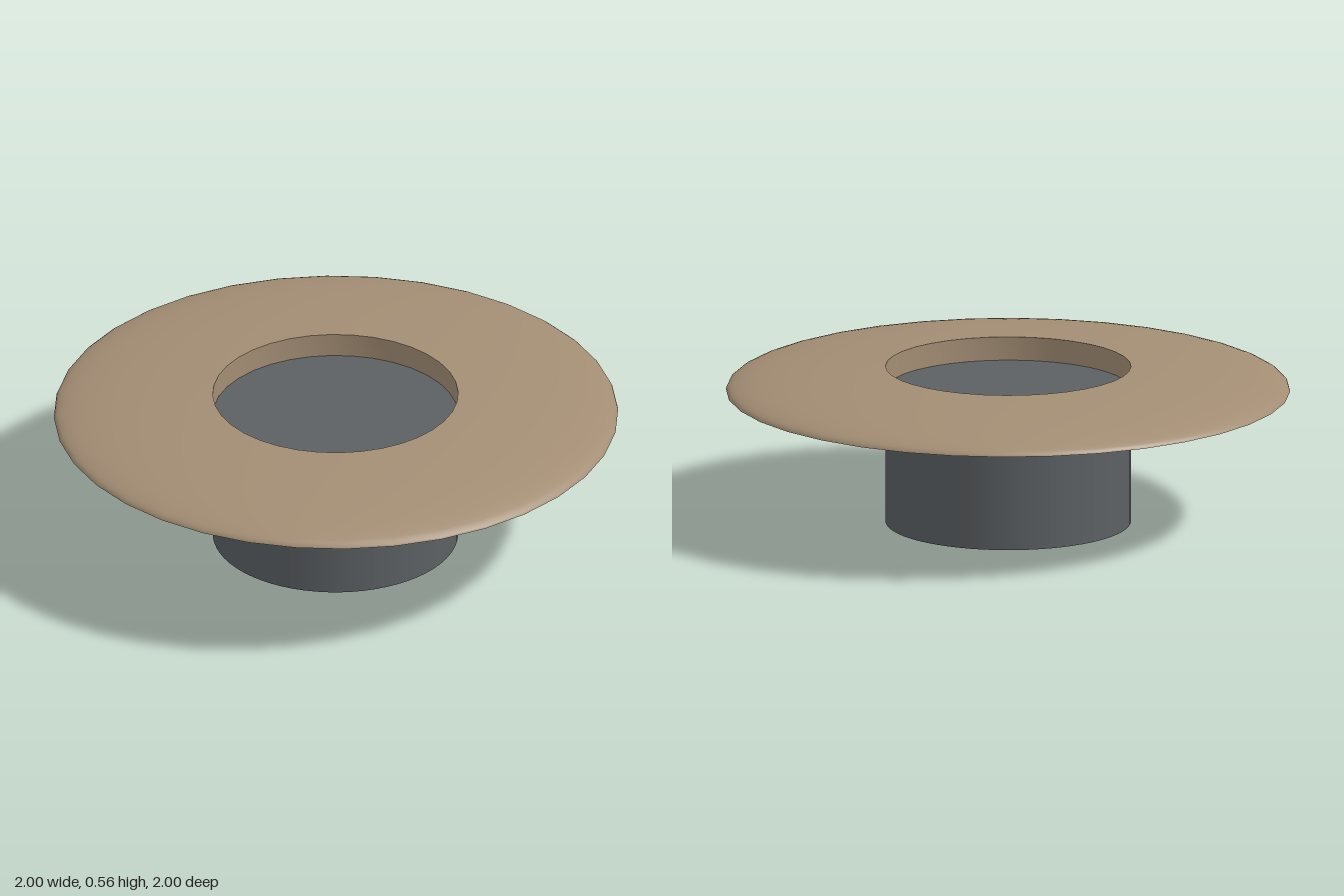
import * as THREE from 'three';
import { toCreasedNormals } from 'three/addons/utils/BufferGeometryUtils.js';

const BRIM_Y = 0.48;      // underside of the brim and top of the drum
const HOLE_R = 0.435;
const DOME_H = 0.094;     // height the dome would reach at its centre
const OFF_X = 0.005, OFF_Z = 0.007; // drum and hole sit slightly off centre

// Flat-bottomed dome with a round hole through it
function brimGeometry() {
  const profile = [new THREE.Vector2(HOLE_R, BRIM_Y)];
  const steps = 14, end = Math.acos(HOLE_R);
  for (let i = 0; i <= steps; i++) {
    const a = end * i / steps;
    profile.push(new THREE.Vector2(Math.cos(a), BRIM_Y + DOME_H * Math.sin(a)));
  }
  profile.push(profile[0].clone());
  const geo = new THREE.LatheGeometry(profile, 36);

  // Shift the hole off centre, fading out towards the rim
  const pos = geo.attributes.position;
  for (let i = 0; i < pos.count; i++) {
    const x = pos.getX(i), z = pos.getZ(i);
    const w = (1 - Math.hypot(x, z)) / (1 - HOLE_R);
    pos.setX(i, x + OFF_X * w);
    pos.setZ(i, z + OFF_Z * w);
  }
  return toCreasedNormals(geo, Math.PI / 4);
}

export function createModel() {
  const model = new THREE.Group();
  model.name = 'flangedDrum';

  const brim = new THREE.Mesh(
    brimGeometry(), new THREE.MeshStandardMaterial({ color: 0xa38d74 }));
  brim.name = 'brim';

  // Closed drum whose top forms the floor of the hole
  const drum = new THREE.Mesh(
    new THREE.CylinderGeometry(HOLE_R, HOLE_R, BRIM_Y, 64),
    new THREE.MeshStandardMaterial({ color: 0x5c6063 }));
  drum.name = 'drum';
  drum.position.set(OFF_X, BRIM_Y / 2, OFF_Z);

  model.add(brim, drum);
  return model;
}
